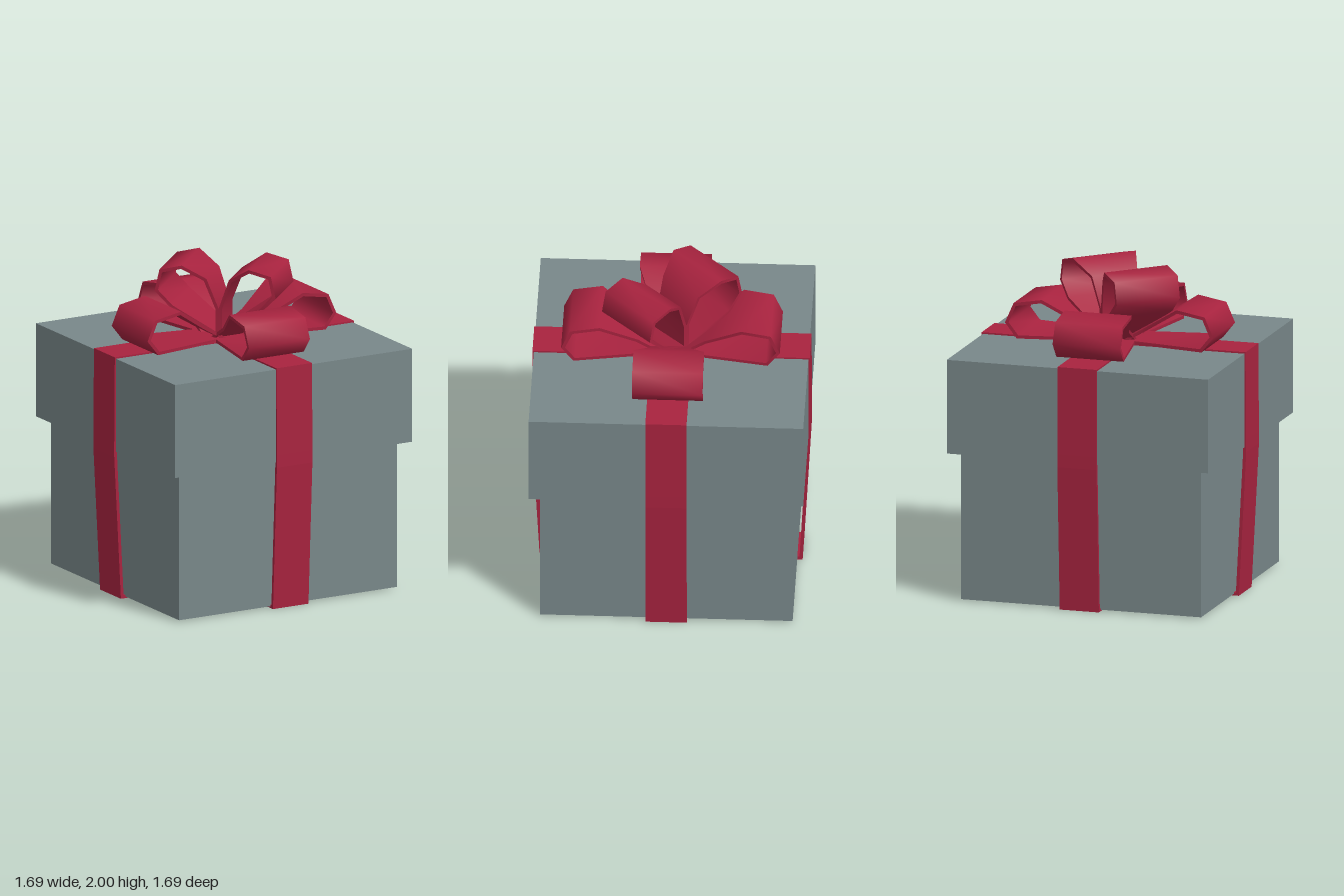
import * as THREE from 'three';

const THICK = 0.02;

// Closed ribbon band: profile points are [r, y, halfWidth], anticlockwise in the XY plane,
// with the ribbon's width along z and its thickness inside the profile.
function bandGeometry(profile, smooth) {
  const n = profile.length;
  const pts = profile.map(p => new THREE.Vector2(p[0], p[1]));
  const inner = pts.map((p, i) => {
    const before = p.clone().sub(pts[(i + n - 1) % n]).normalize();
    const after = pts[(i + 1) % n].clone().sub(p).normalize();
    const n1 = new THREE.Vector2(-before.y, before.x);
    const n2 = new THREE.Vector2(-after.y, after.x);
    const miter = n1.clone().add(n2).normalize();
    return p.clone().addScaledVector(miter, THICK / Math.max(0.3, miter.dot(n2)));
  });
  const positions = [], index = [];
  const strip = (rowP, zP, rowQ, zQ) => {
    const start = positions.length / 3;
    for (let i = 0; i <= n; i++) {
      const k = i % n, w = profile[k][2];
      positions.push(rowP[k].x, rowP[k].y, zP * w, rowQ[k].x, rowQ[k].y, zQ * w);
      if (i < n) {
        const a = start + i * 2;
        index.push(a, a + 2, a + 3, a, a + 3, a + 1);
      }
    }
  };
  strip(pts, -1, pts, 1);     // outside
  strip(inner, 1, inner, -1); // inside
  strip(pts, 1, inner, 1);    // two edges
  strip(inner, -1, pts, -1);
  let geometry = new THREE.BufferGeometry();
  geometry.setAttribute('position', new THREE.Float32BufferAttribute(positions, 3));
  geometry.setIndex(index);
  if (!smooth) geometry = geometry.toNonIndexed();
  geometry.computeVertexNormals();
  return geometry;
}

export function createModel() {
  const group = new THREE.Group();
  const paper = new THREE.MeshStandardMaterial({ color: 0x788789 });
  paper.name = 'grey paper';
  const red = new THREE.MeshStandardMaterial({ color: 0xa8233f, side: THREE.DoubleSide });
  red.name = 'red ribbon';

  const add = (name, geometry, material, turn = 0) => {
    const mesh = new THREE.Mesh(geometry, material);
    mesh.name = name;
    mesh.rotation.y = turn;
    group.add(mesh);
    return mesh;
  };

  // Box and overhanging lid
  add('box', new THREE.BoxGeometry(1.535, 0.93, 1.535), paper).position.y = 0.475;
  add('lid', new THREE.BoxGeometry(1.67, 0.585, 1.67), paper).position.y = 1.2225;

  // Two crossing ribbons wrapped round the box
  const half = [[0.8, 0], [0.847, 0.9], [0.847, 0.98], [0.843, 1.525]];
  const wrap = [...half, ...half.map(([x, y]) => [-x, y]).reverse()].map(([x, y]) => [x, y, 0.125]);
  const wrapGeometry = bandGeometry(wrap, false);
  add('ribbonAcross', wrapGeometry, red);
  add('ribbonFrontToBack', wrapGeometry, red, Math.PI / 2);

  // Four low bow loops
  const lowLoop = bandGeometry([
    [0.03, 1.525, 0.125], [0.15, 1.525, 0.14], [0.59, 1.525, 0.215], [0.665, 1.62, 0.215],
    [0.61, 1.745, 0.215], [0.43, 1.777, 0.215], [0.2, 1.63, 0.125],
  ], true);
  for (let i = 0; i < 4; i++) add('lowBowLoop' + (i + 1), lowLoop, red, i * Math.PI / 2);

  // Two raised bow loops on the diagonal
  const highLoop = bandGeometry([
    [0, 1.54, 0.13], [0.28, 1.73, 0.215], [0.38, 1.83, 0.215], [0.35, 1.965, 0.215],
    [0.21, 2.0, 0.215], [0.07, 1.91, 0.155], [0, 1.72, 0.13],
  ], true);
  add('highBowLoopFront', highLoop, red, -Math.PI / 4);
  add('highBowLoopBack', highLoop, red, Math.PI * 3 / 4);

  return group;
}
